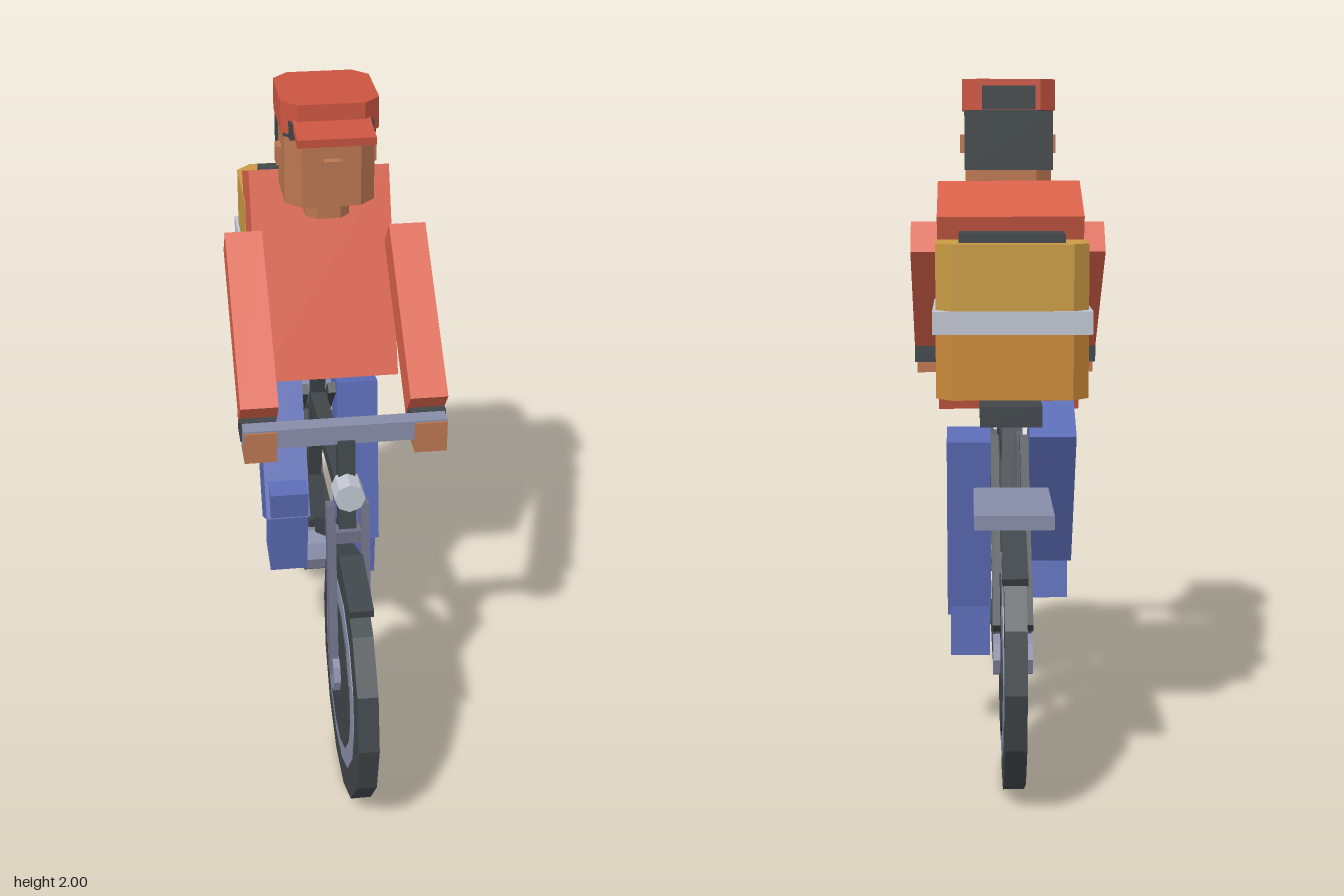
import * as THREE from 'three';

const mat = (name, color) => {
  const m = new THREE.MeshStandardMaterial({ color });
  m.name = name;
  return m;
};

export function createModel() {
  const M = {
    red: mat('shirt red', 0xd9614a),
    cap: mat('cap red', 0xcb5541),
    skin: mat('skin', 0xbb7650),
    dark: mat('charcoal', 0x40464a),
    blue: mat('trouser blue', 0x5b6bb5),
    lilac: mat('rim grey', 0x888da8),
    steel: mat('fork grey', 0x6e7086),
    silver: mat('silver', 0xbfc4cf),
    yellow: mat('pack yellow', 0xc99b44),
    orange: mat('pack orange', 0xc98838),
  };
  const root = new THREE.Group();

  const add = (name, geo, material, parent = root) => {
    const flat = geo.index ? geo.toNonIndexed() : geo;
    flat.computeVertexNormals();
    const m = new THREE.Mesh(flat, material);
    m.name = name;
    parent.add(m);
    return m;
  };
  // box from its limits on each axis
  const box = (name, material, [x0, x1], [y0, y1], [z0, z1], parent) => {
    const m = add(name, new THREE.BoxGeometry(x1 - x0, y1 - y0, z1 - z0), material, parent);
    m.position.set((x0 + x1) / 2, (y0 + y1) / 2, (z0 + z1) / 2);
    return m;
  };
  // slanted box between two [z, y] points
  const beam = (name, material, [z0, y0], [z1, y1], width, thick, x = 0, parent) => {
    const dz = z1 - z0, dy = y1 - y0;
    const m = add(name, new THREE.BoxGeometry(width, thick, Math.hypot(dz, dy)), material, parent);
    m.position.set(x, (y0 + y1) / 2, (z0 + z1) / 2);
    m.rotation.x = Math.atan2(-dy, dz);
    return m;
  };
  // upright prism with cut corners
  const prism = (name, material, hx, [y0, y1], [z0, z1], c) => {
    const s = new THREE.Shape([
      [-hx + c, -z1], [hx - c, -z1], [hx, -z1 + c], [hx, -z0 - c],
      [hx - c, -z0], [-hx + c, -z0], [-hx, -z0 - c], [-hx, -z1 + c],
    ].map(([x, y]) => new THREE.Vector2(x, y)));
    const g = new THREE.ExtrudeGeometry(s, { depth: y1 - y0, bevelEnabled: false });
    g.rotateX(-Math.PI / 2).translate(0, y0, 0);
    return add(name, g, material);
  };
  // disc with its axle along x
  const disc = (name, material, r, halfWidth, sides, y, z, parent) => {
    const g = new THREE.CylinderGeometry(r, r, halfWidth * 2, sides).rotateZ(Math.PI / 2);
    const m = add(name, g, material, parent);
    m.position.set(0, y, z);
    return m;
  };

  // wheels with mudguards
  for (const [name, z] of [['frontWheel', 0.6], ['rearWheel', -0.6]]) {
    const w = new THREE.Group();
    w.name = name;
    root.add(w);
    disc('tyre', M.dark, 0.38, 0.03, 14, 0.371, z, w);
    disc('rim', M.lilac, 0.29, 0.033, 14, 0.371, z, w);
    disc('wheelCentre', M.dark, 0.23, 0.036, 14, 0.371, z, w);
    disc('hub', M.lilac, 0.06, 0.056, 8, 0.371, z, w);
    beam('mudguardFront', M.dark, [z + 0.21, 0.727], [z - 0.01, 0.768], 0.07, 0.025, 0, w);
    beam('mudguardBack', M.dark, [z + 0.01, 0.77], [z - 0.265, 0.648], 0.07, 0.025, 0, w);
  }

  // frame tubes
  beam('topTube', M.dark, [0.5, 0.92], [-0.16, 0.88], 0.05, 0.05);
  beam('downTube', M.dark, [0.5, 0.8], [-0.06, 0.46], 0.05, 0.05);
  beam('seatTube', M.dark, [-0.155, 1.02], [-0.288, 0.5], 0.045, 0.045);
  beam('headTube', M.dark, [0.465, 1.1], [0.51, 0.78], 0.05, 0.05);
  for (const s of [-1, 1]) {
    beam('chainStay', M.dark, [-0.05, 0.38], [-0.61, 0.38], 0.025, 0.04, s * 0.045);
    beam('seatStay', M.dark, [-0.16, 0.92], [-0.63, 0.455], 0.025, 0.035, s * 0.045);
    beam('forkBlade', M.steel, [0.51, 0.91], [0.6, 0.37], 0.025, 0.045, s * 0.05);
  }
  box('forkCrown', M.steel, [-0.06, 0.06], [0.79, 0.83], [0.5, 0.545]);
  disc('crankHub', M.lilac, 0.07, 0.06, 8, 0.375, -0.05);
  box('pedalAxle', M.dark, [-0.065, 0.065], [0.31, 0.36], [-0.08, -0.02]);

  // saddle, rack, lamp and handlebar
  box('saddle', M.dark, [-0.09, 0.09], [1.0, 1.06], [-0.445, -0.17]);
  box('rack', M.lilac, [-0.11, 0.11], [0.77, 0.81], [-0.77, -0.38]);
  const lamp = add('headlamp',
    new THREE.CylinderGeometry(0.045, 0.045, 0.08, 8).rotateX(Math.PI / 2), M.silver);
  lamp.position.set(0, 0.96, 0.53);
  box('handlebar', M.lilac, [-0.295, 0.295], [1.09, 1.15], [0.43, 0.48]);

  // torso leaning back
  beam('torso', M.red, [-0.01, 1.055], [-0.25, 1.65], 0.426, 0.26);

  // arms, hands and grips
  for (const s of [-1, 1]) {
    const side = s > 0 ? 'left' : 'right';
    const span = (a, b) => (s > 0 ? [a, b] : [-b, -a]);
    beam(side + 'Arm', M.red, [-0.01, 1.525], [0.415, 1.165], 0.11, 0.117, s * 0.245);
    box(side + 'Hand', M.skin, span(0.2, 0.294), [1.05, 1.145], [0.39, 0.487]);
    box(side + 'Grip', M.dark, span(0.195, 0.3), [1.09, 1.152], [0.35, 0.43]);
  }

  // legs in pedalling pose
  beam('leftLeg', M.blue, [-0.208, 0.94], [-0.123, 0.388], 0.132, 0.155, 0.123);
  beam('leftFoot', M.blue, [-0.135, 0.42], [-0.145, 0.247], 0.12, 0.135, 0.12);
  beam('rightThigh', M.blue, [-0.225, 0.99], [0.02, 0.553], 0.14, 0.175, -0.128);
  beam('rightShin', M.blue, [0.042, 0.7], [-0.005, 0.385], 0.12, 0.135, -0.125);

  // head
  prism('neck', M.skin, 0.065, [1.625, 1.7], [-0.04, 0.09], 0.03);
  prism('head', M.skin, 0.13, [1.69, 1.91], [-0.1, 0.155], 0.045);
  box('nose', M.skin, [-0.025, 0.025], [1.78, 1.836], [0.14, 0.18]);
  for (const s of [-1, 1]) {
    const ear = box('ear', M.skin, [-0.02, 0.02], [1.78, 1.836], [-0.005, 0.045]);
    ear.position.x = s * 0.126;
  }
  box('hair', M.dark, [-0.133, 0.133], [1.73, 1.905], [-0.12, -0.05]);

  // cap
  prism('capBand', M.dark, 0.132, [1.895, 1.91], [-0.12, 0.158], 0.045);
  prism('cap', M.cap, 0.14, [1.908, 2.0], [-0.125, 0.16], 0.045);
  box('capFrontBand', M.dark, [-0.12, 0.12], [1.9, 1.948], [0.12, 0.165]);
  box('capStrap', M.dark, [-0.08, 0.08], [1.91, 1.98], [-0.132, -0.08]);
  beam('brim', M.cap, [0.14, 1.942], [0.27, 1.927], 0.22, 0.024);

  // backpack
  prism('packLower', M.orange, 0.215, [1.1, 1.32], [-0.59, -0.23], 0.045);
  prism('packUpper', M.yellow, 0.215, [1.32, 1.535], [-0.59, -0.23], 0.045);
  box('packStrap', M.silver, [-0.224, 0.224], [1.285, 1.35], [-0.597, -0.19]);
  box('packLid', M.dark, [-0.15, 0.15], [1.53, 1.56], [-0.527, -0.355]);

  return root;
}
